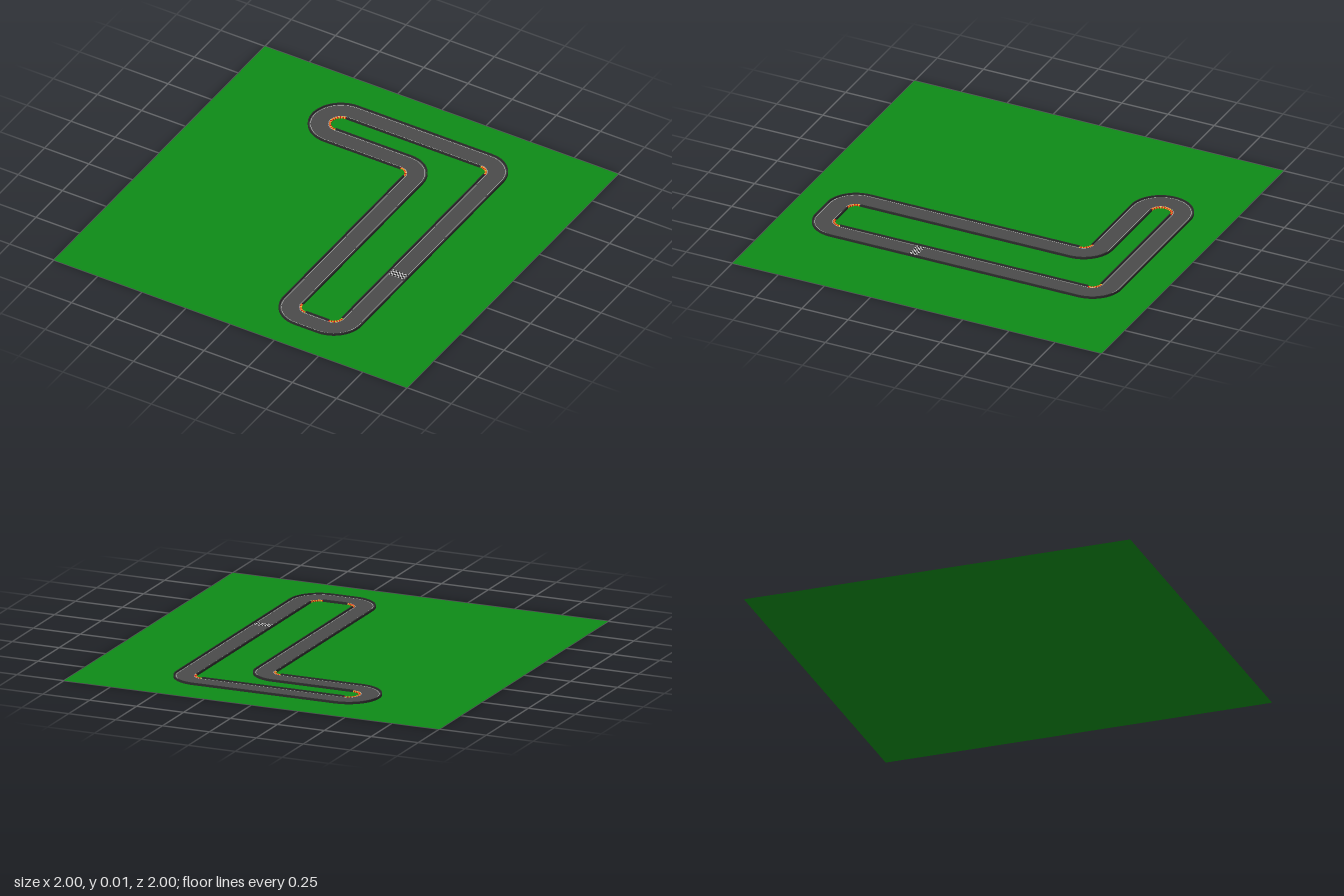
import * as THREE from 'three';

// corners of the centre line: x, z, radius, start and end angle in degrees
const CORNERS = [
  [0.40, -0.655, 0.10, 0, -90],
  [-0.36, -0.65, 0.105, -90, -270],
  [0.07, -0.445, 0.10, -90, 0],
  [0.27, 0.69, 0.10, 180, 90],
  [0.40, 0.69, 0.10, 90, 0],
];

const paint = (color) => new THREE.MeshStandardMaterial({ color, side: THREE.DoubleSide });
const asphalt = paint(0x4a4a4a), dark = paint(0x2b2b2b), white = paint(0xdddddd);
const black = paint(0x222222), red = paint(0xdd1111), yellow = paint(0xe0c030), grass = paint(0x0e8a17);

// points along one corner, each with a sideways direction away from the loop
function cornerPoints([cx, cz, r, a0, a1]) {
  const steps = Math.abs(a1 - a0) / 7.5;
  const out = a1 < a0 ? 1 : -1;
  return Array.from({ length: steps + 1 }, (_, i) => {
    const a = THREE.MathUtils.degToRad(a0 + (a1 - a0) * i / steps);
    const c = Math.cos(a), s = Math.sin(a);
    return { x: cx + r * c, z: cz + r * s, nx: c * out, nz: s * out };
  });
}

// sweep a profile of [sideways offset, height] pairs along path points
function sweep(path, profile) {
  const pos = [];
  const at = (p, [o, y]) => [p.x + p.nx * o, y, p.z + p.nz * o];
  for (let i = 0; i + 1 < path.length; i++) {
    for (let j = 0; j + 1 < profile.length; j++) {
      const a = at(path[i], profile[j]), b = at(path[i], profile[j + 1]);
      const c = at(path[i + 1], profile[j + 1]), d = at(path[i + 1], profile[j]);
      pos.push(...a, ...b, ...c, ...a, ...c, ...d);
    }
  }
  const geo = new THREE.BufferGeometry();
  geo.setAttribute('position', new THREE.Float32BufferAttribute(pos, 3));
  geo.computeVertexNormals();
  return geo;
}

export function createModel() {
  const model = new THREE.Group();
  const add = (name, geo, mat) => {
    const mesh = new THREE.Mesh(geo, mat);
    mesh.name = name;
    model.add(mesh);
    return mesh;
  };

  // grass field
  add('grassField', new THREE.PlaneGeometry(2, 2).rotateX(-Math.PI / 2), grass);

  // road surface and edge lines
  const arcs = CORNERS.map(cornerPoints);
  const loop = arcs.flat();
  loop.push(loop[0]);
  add('road', sweep(loop, [[-0.05, 0.004], [0.05, 0.004]]), asphalt);
  for (const o of [-0.0435, 0.0435]) {
    add('edgeLine', sweep(loop, [[o - 0.001, 0.005], [o + 0.001, 0.005]]), white);
  }

  // low barriers: both sides of straights, outer side of bends
  const barrier = (path, side) => {
    const lo = side > 0 ? 0.051 : -0.057, hi = lo + 0.006;
    add('barrier', sweep(path, [[lo, 0], [lo, 0.011], [hi, 0.011], [hi, 0]]), dark);
  };
  arcs.forEach((arc, k) => {
    const straight = [arc[arc.length - 1], arcs[(k + 1) % arcs.length][0]];
    const outer = CORNERS[k][4] < CORNERS[k][3] ? 1 : -1;
    barrier(straight, 1);
    barrier(straight, -1);
    barrier(arc, outer);

    // striped kerb on the inside of each bend
    const lo = outer > 0 ? -0.056 : 0.046, hi = lo + 0.01;
    for (let i = 0; i + 1 < arc.length; i++) {
      add('kerb', sweep([arc[i], arc[i + 1]], [[lo, 0], [lo, 0.006], [hi, 0.006], [hi, 0.004]]), i % 2 ? yellow : red);
    }
  });

  // chequered start line across the long straight
  const startLine = new THREE.Group();
  startLine.name = 'startLine';
  const size = 0.0088;
  const tile = new THREE.PlaneGeometry(size, size).rotateX(-Math.PI / 2);
  for (let i = 0; i < 10; i++) {
    for (let j = 0; j < 5; j++) {
      const mesh = new THREE.Mesh(tile, (i + j) % 2 ? black : white);
      mesh.name = 'startTile';
      mesh.position.set(0.50 + (i - 4.5) * size, 0.0055, 0.247 + (j - 2) * size);
      startLine.add(mesh);
    }
  }
  model.add(startLine);
  return model;
}
